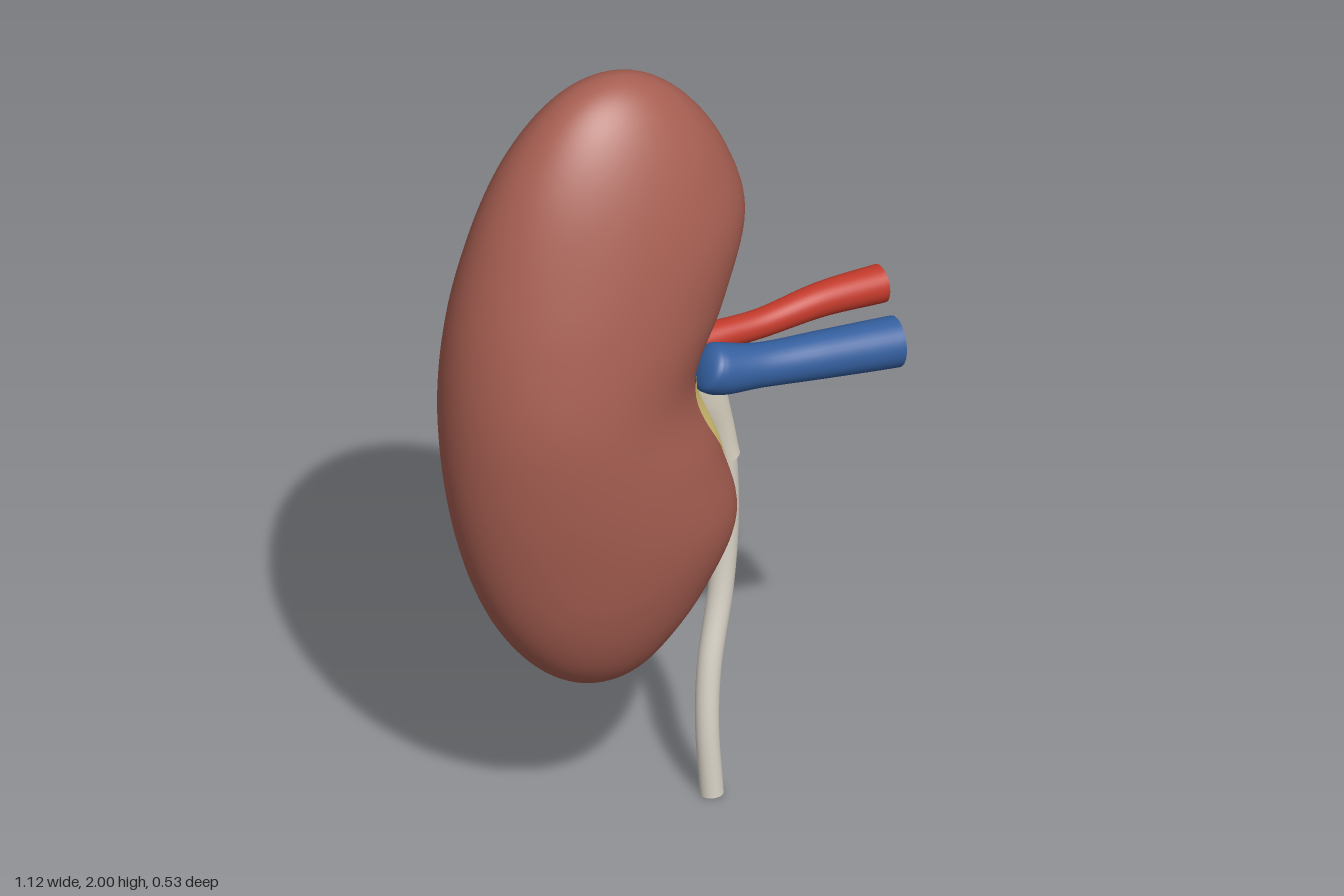
import * as THREE from 'three';

const material = (name, color) => {
  const m = new THREE.MeshStandardMaterial({ color });
  m.name = name;
  return m;
};

// Smooth surface over rows x columns; columns wrap around into closed loops.
function loftGrid(rows, cols, pointAt) {
  const positions = [], index = [];
  for (let i = 0; i < rows; i++)
    for (let j = 0; j < cols; j++) positions.push(...pointAt(i, (j / cols) * Math.PI * 2));
  for (let i = 0; i < rows - 1; i++)
    for (let j = 0; j < cols; j++) {
      const k = (j + 1) % cols;
      const a = i * cols + j, b = i * cols + k, c = a + cols, d = b + cols;
      index.push(a, b, c, b, d, c);
    }
  const g = new THREE.BufferGeometry();
  g.setAttribute('position', new THREE.Float32BufferAttribute(positions, 3));
  g.setIndex(index);
  g.computeVertexNormals();
  return g;
}

// Bean body: left and right outline every 15 degrees from top pole to bottom pole,
// with one mirrored entry beyond each pole so the poles stay round.
const MID_Y = 1.205, HALF_Y = 0.795, HALF_Z = 0.262;
const outline = new THREE.SplineCurve([
  [-0.02, -0.23],
  [-0.12, -0.12], [-0.23, -0.02], [-0.33, 0.075], [-0.42, 0.155], [-0.49, 0.198],
  [-0.54, 0.14], [-0.56, 0.055], [-0.552, 0.12], [-0.517, 0.167], [-0.457, 0.097],
  [-0.375, 0.005], [-0.28, -0.08], [-0.18, -0.18],
  [-0.08, -0.28],
].map(([l, r]) => new THREE.Vector2(l, r)));

function section(t) {
  const { x: left, y: right } = outline.getPoint((t / Math.PI * 12 + 1) / 14);
  return {
    x: (left + right) / 2,
    halfX: (right - left) / 2,
    z: -0.02 * Math.cos(t),
    halfZ: HALF_Z * Math.sin(t),
  };
}

function bodyGeometry() {
  const rows = 97;
  return loftGrid(rows, 80, (i, a) => {
    const t = (i / (rows - 1)) * Math.PI;
    const s = section(t);
    return [s.x + s.halfX * Math.cos(a), MID_Y + HALF_Y * Math.cos(t), s.z + s.halfZ * Math.sin(a)];
  });
}

// Thin oval skin following the inner curve of the body.
function hilumGeometry() {
  const rows = 25;
  return loftGrid(rows, 72, (i, a) => {
    const r = i / (rows - 1);
    const y = MID_Y + 0.295 * r * Math.sin(a);
    const z = 0.135 * r * Math.cos(a);
    const s = section(Math.acos((y - MID_Y) / HALF_Y));
    const k = (z - s.z) / s.halfZ;
    return [s.x + s.halfX * Math.sqrt(1 - k * k) + 0.004, y, z];
  });
}

// Hollow vessel with a rounded start and an open far end; points are [x, y, z, radius].
function vesselGeometry(points, capLength, wall = 0.76) {
  const path = new THREE.CatmullRomCurve3(points.map(p => new THREE.Vector3(p[0], p[1], p[2])));
  const radii = new THREE.SplineCurve(points.map((p, i) => new THREE.Vector2(i, p[3])));
  const radiusAt = u => {
    const k = Math.max(0, 1 - u / capLength);
    return radii.getPoint(u).y * Math.sqrt(1 - k * k);
  };
  const stations = [];
  for (let i = 0; i <= 8; i++) stations.push([capLength * (i / 8) ** 2, 1]);
  for (let i = 1; i <= 40; i++) stations.push([capLength + (1 - capLength) * i / 40, 1]);
  // Lip (repeated rings keep it sharp), bore and its closed end
  stations.push([1, 1], [1, wall], [1, wall], [0.85, wall], [0.7, wall], [0.7, 0]);

  const zAxis = new THREE.Vector3(0, 0, 1);
  const rings = stations.map(([u, scale]) => {
    const tangent = path.getTangent(u);
    const n = new THREE.Vector3().crossVectors(zAxis, tangent).normalize();
    const b = new THREE.Vector3().crossVectors(tangent, n);
    return { c: path.getPoint(u), n, b, r: radiusAt(u) * scale };
  });
  return loftGrid(rings.length, 32, (i, a) => {
    const { c, n, b, r } = rings[i];
    return c.clone().addScaledVector(n, r * Math.cos(a)).addScaledVector(b, r * Math.sin(a)).toArray();
  });
}

export function createModel() {
  const group = new THREE.Group();
  group.name = 'kidney';
  const add = (name, geometry, mat) => {
    const mesh = new THREE.Mesh(geometry, mat);
    mesh.name = name;
    group.add(mesh);
  };

  add('kidneyBody', bodyGeometry(), material('kidney brown', 0xa85f52));
  add('hilum', hilumGeometry(), material('fat yellow', 0xdcc878));

  add('renalArtery', vesselGeometry([
    [0.03, 1.25, 0.03, 0.045], [0.12, 1.255, 0.028, 0.037],
    [0.24, 1.255, 0.022, 0.035], [0.4, 1.27, 0.012, 0.041], [0.56, 1.267, 0.005, 0.046],
  ], 0.08), material('artery red', 0xc23a2b));

  add('renalVein', vesselGeometry([
    [0.045, 1.235, 0.1, 0.055], [0.09, 1.215, 0.1, 0.062],
    [0.2, 1.197, 0.103, 0.053], [0.36, 1.185, 0.108, 0.057], [0.545, 1.172, 0.113, 0.061],
  ], 0.12), material('vein blue', 0x345f9e));

  // Funnel that narrows into the ureter
  add('renalPelvis', vesselGeometry([
    [0.06, 1.25, -0.03, 0.055], [0.08, 1.17, -0.034, 0.07],
    [0.115, 1.07, -0.036, 0.06], [0.155, 0.97, -0.038, 0.042], [0.181, 0.88, -0.04, 0.034],
  ], 0.2), material('pelvis cream', 0xe0d9c8));

  add('ureter', vesselGeometry([
    [0.177, 0.9, -0.04, 0.03], [0.185, 0.72, -0.045, 0.03], [0.17, 0.53, -0.042, 0.03],
    [0.128, 0.33, -0.02, 0.029], [0.116, 0.18, -0.006, 0.028], [0.125, 0, 0, 0.028],
  ], 0.01, 0.6), material('ureter ivory', 0xd8d2c6));

  return group;
}
